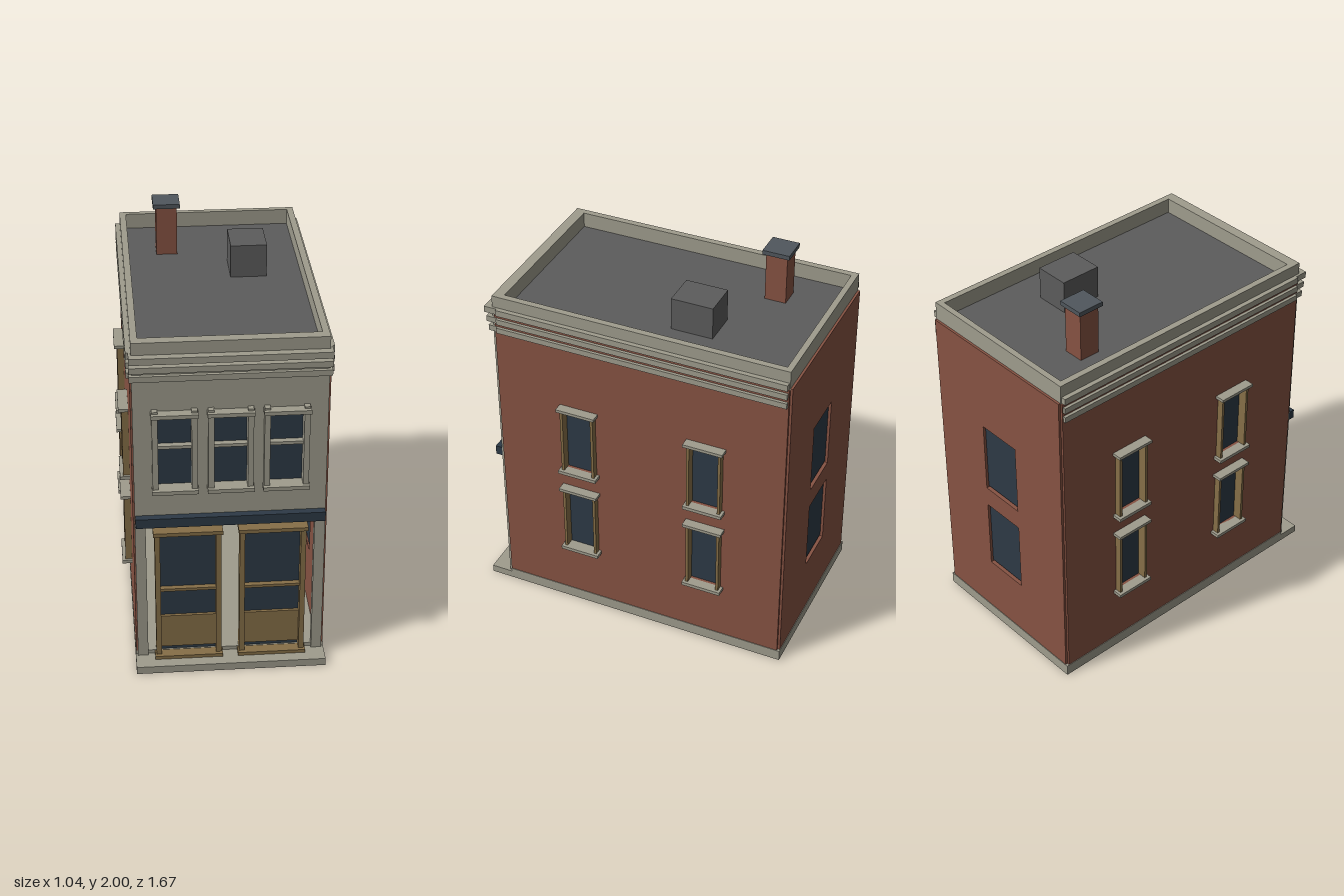
import * as THREE from 'three';

const mat = (name, color) => {
  const m = new THREE.MeshStandardMaterial({ color });
  m.name = name;
  return m;
};

export function createModel() {
  const root = new THREE.Group();
  root.name = 'townBuilding';
  const brick = mat('brick', 0x875343);
  const stone = mat('stone', 0x9f9c8d);
  const ochre = mat('ochreWood', 0x866f48);
  const navy = mat('navyGlass', 0x2d3a46);
  const grey = mat('roofGrey', 0x5c5c5c);
  const slate = mat('chimneySlate', 0x50575d);

  const group = (name, x = 0, y = 0, z = 0) => {
    const g = new THREE.Group();
    g.name = name;
    g.position.set(x, y, z);
    root.add(g);
    return g;
  };

  // Box given by its extents on each axis
  const box = (name, m, x0, x1, y0, y1, z0, z1, parent = root) => {
    const mesh = new THREE.Mesh(new THREE.BoxGeometry(x1 - x0, y1 - y0, z1 - z0), m);
    mesh.position.set((x0 + x1) / 2, (y0 + y1) / 2, (z0 + z1) / 2);
    mesh.name = name;
    parent.add(mesh);
    return mesh;
  };

  // Flat wall with rectangular openings, extruded along +z
  const rect = (P, [a0, a1, b0, b1]) => {
    const p = new P();
    p.moveTo(a0, b0);
    p.lineTo(a1, b0);
    p.lineTo(a1, b1);
    p.lineTo(a0, b1);
    p.closePath();
    return p;
  };
  const wallGeometry = (outline, holes, depth) => {
    const s = rect(THREE.Shape, outline);
    s.holes = holes.map((h) => rect(THREE.Path, h));
    return new THREE.ExtrudeGeometry(s, { depth, bevelEnabled: false });
  };
  const wall = (name, m, geo, x, z) => {
    const mesh = new THREE.Mesh(geo, m);
    mesh.name = name;
    mesh.position.set(x, 0, z);
    root.add(mesh);
  };

  // Plinth and front step
  box('plinth', stone, -0.475, 0.475, 0, 0.06, -0.835, 0.72);
  box('frontStep', stone, -0.475, 0.475, 0, 0.04, 0.72, 0.835);

  // Side walls with four windows each
  const sideHoles = [];
  for (const z of [0.275, -0.41])
    for (const y of [0.38, 0.88]) sideHoles.push([z - 0.09, z + 0.09, y, y + 0.367]);
  const sideGeo = wallGeometry([-0.82, 0.72, 0.06, 1.7], sideHoles, 0.03).rotateY(-Math.PI / 2);
  wall('leftWall', brick, sideGeo, 0.472, 0);
  wall('rightWall', brick, sideGeo, -0.442, 0);

  for (const side of [1, -1]) {
    for (const [z0, z1, y0, y1] of sideHoles) {
      const win = group('sideWindow');
      const part = (name, m, a, b, c, d, e, f) =>
        box(name, m, Math.min(a * side, b * side), Math.max(a * side, b * side), c, d, e, f, win);
      part('glass', navy, 0.45, 0.458, y0, y1, z0, z1);
      part('jamb', ochre, 0.458, 0.506, y0, y1, z0, z0 + 0.014);
      part('jamb', ochre, 0.458, 0.506, y0, y1, z1 - 0.014, z1);
      part('sill', stone, 0.458, 0.522, y0 - 0.018, y0, z0 - 0.014, z1 + 0.014);
      part('lintel', stone, 0.458, 0.522, y1, y1 + 0.016, z0 - 0.014, z1 + 0.014);
    }
  }

  // Back wall with two recessed windows
  const backHoles = [0.37, 0.863].map((y) => [-0.122, 0.122, y, y + 0.385]);
  wall('backWall', brick, wallGeometry([-0.46, 0.46, 0.05, 1.705], backHoles, 0.03), 0, -0.832);
  for (const [x0, x1, y0, y1] of backHoles)
    box('backGlass', navy, x0, x1, y0 + 0.009, y1 - 0.009, -0.818, -0.81);

  // Upper front wall and its three windows
  const xs = [-0.266, 0, 0.266];
  const frontHoles = xs.map((x) => [x - 0.08, x + 0.08, 1.03, 1.42]);
  wall('upperFront', stone, wallGeometry([-0.463, 0.463, 0.82, 1.8], frontHoles, 0.04), 0, 0.694);
  for (const x of xs) {
    const win = group('frontWindow', x);
    box('glass', navy, -0.08, 0.08, 1.03, 1.42, 0.7, 0.708, win);
    box('middleRail', stone, -0.08, 0.08, 1.238, 1.254, 0.7, 0.74, win);
    box('lintel', stone, -0.112, 0.112, 1.422, 1.442, 0.734, 0.785, win);
    box('sill', stone, -0.112, 0.112, 1.01, 1.03, 0.734, 0.785, win);
    for (const s of [-1, 1]) {
      const c = s * 0.094;
      box('jamb', stone, c - 0.014, c + 0.014, 1.0, 1.452, 0.734, 0.765, win);
    }
  }

  // Shop front: pilasters, dark fascia and two glazed doors
  for (const s of [-1, 1])
    box('pilaster', stone, s * 0.438 - 0.026, s * 0.438 + 0.026, 0.04, 0.82, 0.694, 0.734);
  box('fascia', navy, -0.46, 0.46, 0.82, 0.87, 0.734, 0.772);
  for (const s of [-1, 1]) {
    const door = group('shopDoor', s * 0.208);
    box('glass', navy, -0.14, 0.14, 0.055, 0.77, 0.705, 0.713, door);
    box('lowerPanel', ochre, -0.14, 0.14, 0.085, 0.27, 0.713, 0.728, door);
    box('middleRail', ochre, -0.14, 0.14, 0.425, 0.44, 0.713, 0.74, door);
    box('lintel', ochre, -0.17, 0.17, 0.768, 0.788, 0.7, 0.776, door);
    box('threshold', ochre, -0.17, 0.17, 0.04, 0.058, 0.7, 0.776, door);
    for (const t of [-1, 1])
      box('post', ochre, t * 0.15 - 0.013, t * 0.15 + 0.013, 0.055, 0.782, 0.7, 0.757, door);
  }

  // Cornice strips on the front and both sides
  [[1.605, 1.635, 0.753], [1.655, 1.685, 0.763], [1.705, 1.738, 0.773]].forEach(([y0, y1, z]) => {
    box('frontCornice', stone, -0.475, 0.475, y0, y1, 0.7, z);
    box('leftCornice', stone, 0.44, 0.487, y0, y1, -0.815, 0.705);
    box('rightCornice', stone, -0.487, -0.44, y0, y1, -0.815, 0.705);
  });

  // Parapet ring and roof deck
  const ring = wallGeometry([-0.463, 0.463, -0.73, 0.82], [[-0.43, 0.43, -0.68, 0.79]], 0.1);
  const parapet = new THREE.Mesh(ring.rotateX(-Math.PI / 2), stone);
  parapet.name = 'parapet';
  parapet.position.y = 1.7;
  root.add(parapet);
  box('roofDeck', grey, -0.445, 0.445, 1.69, 1.72, -0.8, 0.69);

  // Chimney and roof vent
  box('chimney', brick, -0.285, -0.178, 1.72, 1.977, -0.545, -0.435);
  box('chimneyCap', slate, -0.3, -0.163, 1.977, 2.0, -0.56, -0.42);
  box('roofVent', grey, 0.072, 0.254, 1.72, 1.89, -0.342, -0.125);

  return root;
}
